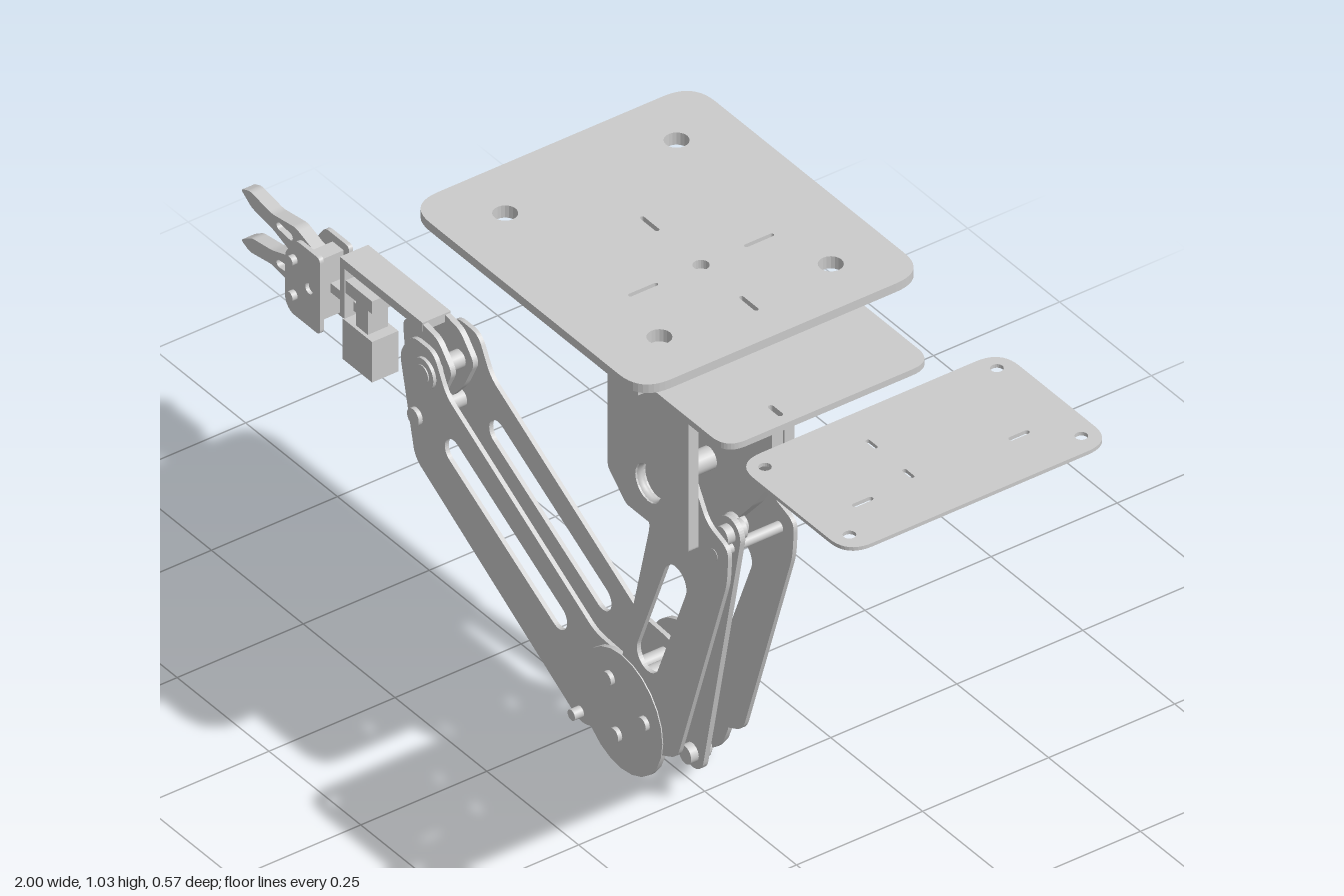
import * as THREE from 'three';

const material = new THREE.MeshStandardMaterial({ color: 0xcccccc, side: THREE.DoubleSide });

// Closed outline with every corner rounded by up to r
function outline(points, r) {
  const shape = new THREE.Shape();
  const p = points.map(([x, y]) => new THREE.Vector2(x, y));
  p.forEach((c, i) => {
    const toward = (q) => {
      const d = q.clone().sub(c);
      return c.clone().add(d.setLength(Math.min(r, d.length() * 0.45)));
    };
    const a = toward(p[(i + p.length - 1) % p.length]);
    const b = toward(p[(i + 1) % p.length]);
    if (i === 0) shape.moveTo(a.x, a.y);
    else shape.lineTo(a.x, a.y);
    shape.quadraticCurveTo(c.x, c.y, b.x, b.y);
  });
  shape.closePath();
  return shape;
}

const rect = (x0, x1, y0, y1) => [[x0, y0], [x1, y0], [x1, y1], [x0, y1]];
const hole = (x, y, r) => new THREE.Path().absarc(x, y, r, 0, Math.PI * 2, true);

// Round-ended slot between two points
function slot(x0, y0, x1, y1, r) {
  const a = Math.atan2(y1 - y0, x1 - x0);
  const path = new THREE.Path();
  path.absarc(x0, y0, r, a + Math.PI / 2, a + Math.PI * 1.5, false);
  path.absarc(x1, y1, r, a - Math.PI / 2, a + Math.PI / 2, false);
  path.closePath();
  return path;
}

function add(group, name, geometry) {
  const mesh = new THREE.Mesh(geometry, material);
  mesh.name = name;
  group.add(mesh);
  return mesh;
}

function extrude(shape, depth, holes) {
  shape.holes.push(...holes);
  return new THREE.ExtrudeGeometry(shape, { depth, bevelEnabled: false, curveSegments: 10 });
}

// Upright sheet centred on z
function sheet(group, name, points, z, t, r = 0.01, holes = []) {
  const g = extrude(outline(points, r), t, holes);
  return add(group, name, g.translate(0, 0, z - t / 2));
}

// Level sheet from y0 to y1; holes are given as (x, -z)
function deck(group, name, x0, x1, halfZ, y0, y1, r, holes = []) {
  const g = extrude(outline(rect(x0, x1, -halfZ, halfZ), r), y1 - y0, holes);
  return add(group, name, g.rotateX(-Math.PI / 2).translate(0, y0, 0));
}

function box(group, name, x0, x1, y0, y1, z0, z1) {
  const g = new THREE.BoxGeometry(x1 - x0, y1 - y0, z1 - z0);
  return add(group, name, g.translate((x0 + x1) / 2, (y0 + y1) / 2, (z0 + z1) / 2));
}

// Round pin along z
function pin(group, name, x, y, z0, z1, r) {
  const g = new THREE.CylinderGeometry(r, r, z1 - z0, 24).rotateX(Math.PI / 2);
  return add(group, name, g.translate(x, y, (z0 + z1) / 2));
}

// Flat bar with a bolt at each end
function rod(group, name, x0, y0, x1, y1, z, w) {
  const shape = new THREE.Shape(slot(x0, y0, x1, y1, w).getPoints(10));
  add(group, name, extrude(shape, 0.01, []).translate(0, 0, z - 0.005));
  for (const [x, y] of [[x0, y0], [x1, y1]]) {
    pin(group, name + 'Bolt', x, y, z - 0.02, z + 0.02, 0.017);
  }
}

export function createModel() {
  const model = new THREE.Group();
  const part = (name) => {
    const g = new THREE.Group();
    g.name = name;
    model.add(g);
    return g;
  };

  // Top plate with rim and turntable
  const top = part('topPlate');
  const corners = [];
  for (const x of [-0.06, 0.36]) for (const z of [-0.17, 0.17]) corners.push(hole(x, z, 0.021));
  const slits = [slot(0.24, 0.09, 0.24, 0.14, 0.004), slot(0.24, -0.14, 0.24, -0.09, 0.004),
    slot(0.08, 0, 0.12, 0, 0.004), slot(0.35, 0, 0.39, 0, 0.004), hole(0.24, 0, 0.014)];
  deck(top, 'topSheet', -0.17, 0.465, 0.283, 1.02, 1.037, 0.06, [...corners, ...slits]);
  deck(top, 'rim', -0.15, 0.445, 0.265, 1.013, 1.02, 0.06,
    corners.map((c) => new THREE.Path(c.getPoints(10))));
  add(top, 'turntable', new THREE.CylinderGeometry(0.16, 0.16, 0.01, 48).translate(0.24, 1.009, 0));

  // Separate thin side plate
  const side = [];
  for (const x of [0.73, 0.96]) for (const z of [-0.23, 0.23]) side.push(hole(x, z, 0.011));
  side.push(slot(0.9, 0.135, 0.9, 0.165, 0.005), slot(0.9, -0.175, 0.9, -0.145, 0.005),
    slot(0.77, -0.055, 0.79, -0.055, 0.004), slot(0.87, -0.055, 0.89, -0.055, 0.004));
  deck(model, 'sidePlate', 0.695, 1, 0.263, 1.014, 1.021, 0.05, side);

  // Shoulder mount: base plate and three hanging brackets
  const mount = part('shoulderMount');
  deck(mount, 'mountPlate', 0.055, 0.59, 0.205, 0.953, 0.965, 0.04,
    [slot(0.54, -0.08, 0.565, -0.08, 0.005)]);
  const outer = [[0.13, 0.955], [0.13, 0.62], [0.18, 0.575], [0.35, 0.575], [0.35, 0.955]];
  for (const s of [1, -1]) {
    sheet(mount, 'outerBracket', outer, s * 0.095, 0.02, 0.008, [hole(0.24, 0.65, 0.035)]);
    box(mount, 'outerFlange', 0.13, 0.35, 0.93, 0.955, s > 0 ? 0.085 : -0.205, s > 0 ? 0.205 : -0.085);
    const ring = add(mount, 'bearingRing', new THREE.TorusGeometry(0.042, 0.01, 10, 32));
    ring.position.set(0.24, 0.65, s * 0.095);
  }
  const middle = [[0.19, 0.955], [0.19, 0.56], [0.22, 0.52], [0.27, 0.52], [0.355, 0.62],
    [0.41, 0.7], [0.41, 0.955]];
  sheet(mount, 'middleBracket', middle, -0.028, 0.022);
  box(mount, 'middleFlange', 0.19, 0.41, 0.93, 0.955, -0.039, 0.06);
  pin(mount, 'shoulderAxle', 0.24, 0.65, -0.07, 0.07, 0.02);

  // Upper arm: slotted cheeks and the linkage between them
  const upper = part('upperArm');
  const cheek = [[0.19, 0.705], [0.3, 0.705], [0.35, 0.62], [0.41, 0.6], [0.405, 0.53], [0.27, 0.11],
    [0.14, 0.05], [0.09, 0.13], [0.125, 0.24], [0.197, 0.53], [0.175, 0.575]];
  for (const z of [-0.065, 0.065]) {
    sheet(upper, 'upperArmCheek', cheek, z, 0.008, 0.02,
      [slot(0.265, 0.455, 0.19, 0.265, 0.03), hole(0.24, 0.65, 0.02)]);
  }
  rod(upper, 'outerLink', 0.365, 0.595, 0.265, 0.105, 0.03, 0.03);
  rod(upper, 'innerLink', 0.31, 0.555, 0.21, 0.06, -0.012, 0.025);
  pin(upper, 'upperSpacer', 0.37, 0.57, -0.07, 0.07, 0.01);

  // Elbow: pair of round covers with three bolts
  const elbow = part('elbow');
  for (const s of [1, -1]) {
    const a = s * 0.062, b = s * 0.071;
    pin(elbow, 'elbowCover', 0.12, 0.115, Math.min(a, b), Math.max(a, b), 0.112);
  }
  for (const [x, y] of [[0.09, 0.165], [0.185, 0.13], [0.11, 0.065]]) {
    pin(elbow, 'elbowBolt', x, y, -0.079, 0.079, 0.013);
  }
  pin(elbow, 'elbowAxle', 0.12, 0.16, -0.05, 0.05, 0.018);

  // Forearm cheeks
  const fore = part('forearm');
  const foreShape = [[-0.02, 0.003], [-0.47, 0.265], [-0.512, 0.45], [-0.48, 0.5], [-0.42, 0.5],
    [-0.385, 0.435], [0.02, 0.205], [0.11, 0.2], [0.13, 0.09], [0.03, 0.02]];
  for (const z of [-0.042, 0.046]) {
    sheet(fore, 'forearmCheek', foreShape, z, 0.008, 0.02, [slot(-0.365, 0.335, -0.08, 0.178, 0.024)]);
  }
  pin(fore, 'forearmSpacer', -0.02, 0.025, -0.068, 0.068, 0.01);
  for (const y of [0.45, 0.35]) pin(fore, 'wristAxle', y > 0.4 ? -0.44 : -0.465, y, -0.058, 0.058, 0.016);
  pin(fore, 'wristHub', -0.44, 0.45, 0.046, 0.056, 0.028);

  // Wrist: bent link plates carrying a top strap and a motor
  const wrist = part('wrist');
  const link = [[-0.52, 0.345], [-0.49, 0.33], [-0.43, 0.4], [-0.4, 0.46], [-0.44, 0.505],
    [-0.5, 0.515], [-0.535, 0.49]];
  for (const z of [-0.022, 0.022]) sheet(wrist, 'wristLink', link, z, 0.01, 0.015);
  box(wrist, 'wristStrap', -0.705, -0.48, 0.498, 0.515, -0.028, 0.028);
  box(wrist, 'wristDrop', -0.705, -0.692, 0.4, 0.5, -0.028, 0.028);
  box(wrist, 'motorBody', -0.7, -0.62, 0.315, 0.395, -0.026, 0.026);
  box(wrist, 'motorNeck', -0.672, -0.64, 0.39, 0.475, -0.02, 0.02);
  box(wrist, 'motorTabs', -0.705, -0.62, 0.45, 0.475, -0.026, 0.026);
  box(wrist, 'gripperShaft', -0.76, -0.64, 0.408, 0.426, -0.01, 0.01);

  // Gripper: two side plates and a mirrored pair of claws
  const grip = part('gripper');
  const body = [[-0.835, 0.36], [-0.82, 0.345], [-0.74, 0.345], [-0.74, 0.495], [-0.805, 0.495],
    [-0.835, 0.455]];
  for (const z of [-0.02, 0.038]) {
    sheet(grip, 'gripperPlate', body, z, 0.008, 0.01,
      [hole(-0.81, 0.385, 0.008), hole(-0.81, 0.455, 0.008), hole(-0.77, 0.42, 0.01)]);
  }
  for (const y of [0.385, 0.455]) pin(grip, 'clawPivot', -0.81, y, -0.035, 0.052, 0.009);
  box(grip, 'gripperBlock', -0.785, -0.755, 0.36, 0.48, -0.018, 0.035);
  const claw = [[-1, 0.05], [-0.975, 0.06], [-0.915, 0.05], [-0.85, 0.06], [-0.79, 0.04], [-0.8, 0.012],
    [-0.865, 0.005], [-0.915, 0.022], [-0.97, 0.03]];
  for (const s of [1, -1]) {
    const pts = claw.map(([x, y]) => [x, 0.42 + s * y]);
    sheet(grip, 'claw', pts, -0.002, 0.024, 0.008, [slot(-0.895, 0.42 + s * 0.037, -0.865, 0.42 + s * 0.034, 0.007)]);
  }
  return model;
}
